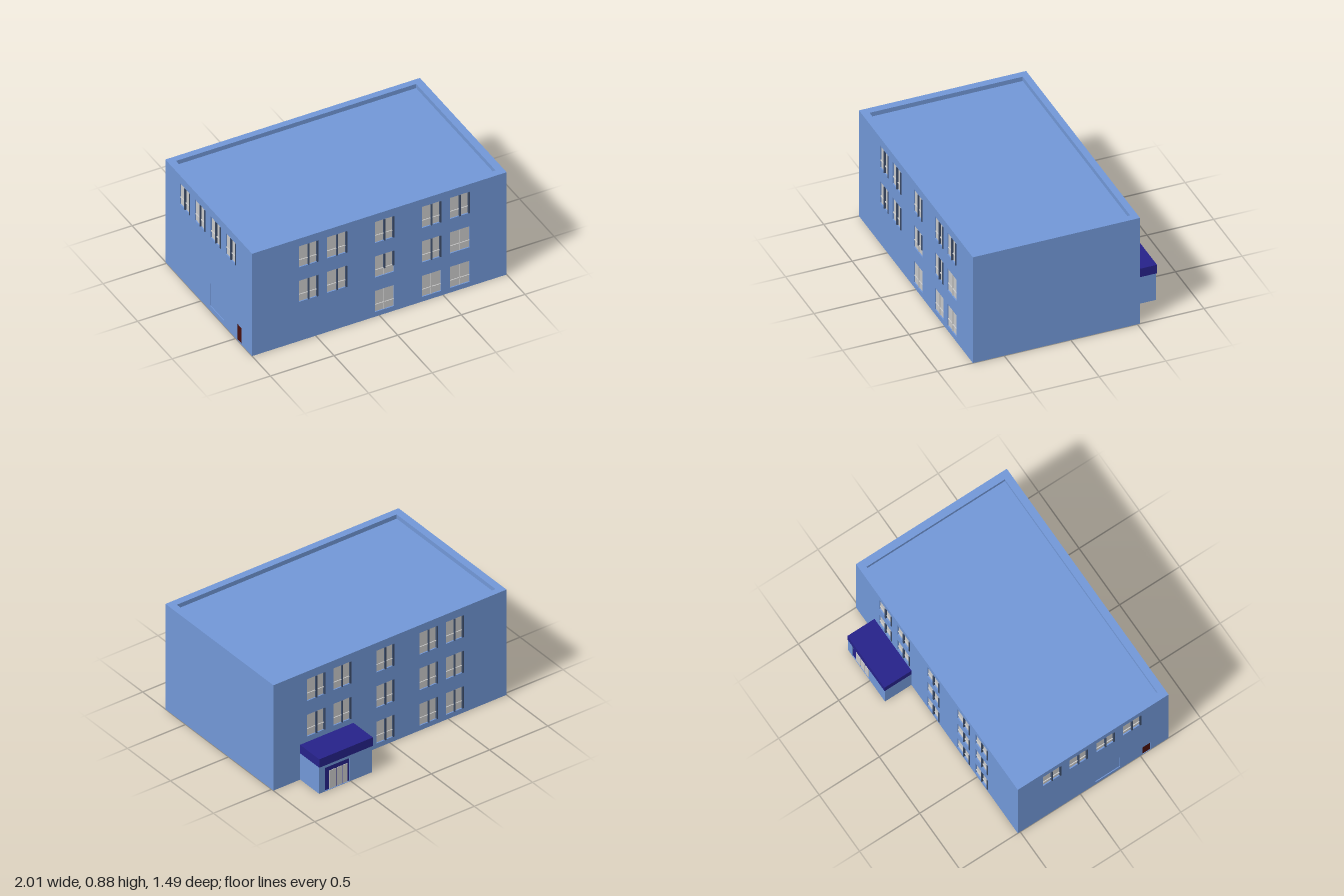
import * as THREE from 'three';

const mat = (color) => new THREE.MeshStandardMaterial({ color, flatShading: true, side: THREE.DoubleSide });
const wallMat = mat(0x7298d8);
const glassMat = mat(0xcccccc);
const frameMat = mat(0x3f506e);
const navyMat = mat(0x26228a);
const doorMat = mat(0x4a100c);

const H = 0.875, DECK = 0.84, T = 0.015;
const COLS = [[-0.63, -0.48], [-0.41, -0.255], [-0.035, 0.115], [0.335, 0.485], [0.555, 0.71]];
const ROWS = [[0.04, 0.22], [0.335, 0.515], [0.63, 0.81]];
const SIDE_COLS = [[-0.31, -0.16], [-0.09, 0.06], [0.135, 0.285], [0.355, 0.505]];

// Box given by its limits on each axis
function box(parent, name, material, x0, x1, y0, y1, z0, z1) {
  const mesh = new THREE.Mesh(new THREE.BoxGeometry(x1 - x0, y1 - y0, z1 - z0), material);
  mesh.position.set((x0 + x1) / 2, (y0 + y1) / 2, (z0 + z1) / 2);
  mesh.name = name;
  parent.add(mesh);
  return mesh;
}

function rect(Type, x0, x1, y0, y1) {
  return new Type([[x0, y0], [x1, y0], [x1, y1], [x0, y1]].map(([x, y]) => new THREE.Vector2(x, y)));
}

// Upright slab with rectangular openings, outer face at local z = d
function slab(parent, name, u0, u1, height, d, openings) {
  const shape = rect(THREE.Shape, u0, u1, 0, height);
  for (const [a, b, c, e] of openings) shape.holes.push(rect(THREE.Path, a, b, c, e));
  const geo = new THREE.ExtrudeGeometry(shape, { depth: T, bevelEnabled: false });
  geo.translate(0, 0, d - T);
  const mesh = new THREE.Mesh(geo, wallMat);
  mesh.name = name;
  parent.add(mesh);
}

// Two-light window with low transom; dark posts run over the full or upper part
function addWindow(parent, [u0, u1, y0, y1], d, posts = 'full') {
  const win = new THREE.Group();
  win.name = 'window';
  const mid = (u0 + u1) / 2, transom = y0 + (y1 - y0) * 0.32;
  box(win, 'glass', glassMat, u0, u1, y0, y1, d - 0.013, d - 0.009);
  box(win, 'transom', glassMat, u0, u1, transom - 0.003, transom + 0.003, d - 0.009, d - 0.002);
  box(win, 'centreBar', glassMat, mid - 0.003, mid + 0.003, y0, y1, d - 0.009, d - 0.002);
  if (posts !== 'none') {
    const base = posts === 'upper' ? transom : y0;
    box(win, 'centrePost', frameMat, mid - 0.005, mid + 0.005, base, y1, d - 0.009, d + 0.005);
    box(win, 'sidePost', frameMat, u1 - 0.011, u1, base, y1, d - 0.009, d + 0.005);
  }
  parent.add(win);
}

export function createModel() {
  const model = new THREE.Group();
  model.name = 'building';
  const facade = (name, angle) => {
    const g = new THREE.Group();
    g.name = name;
    g.rotation.y = angle;
    model.add(g);
    return g;
  };

  // Front wall: two full rows and three ground floor windows
  const front = facade('frontFacade', 0);
  const frontWins = [];
  ROWS.forEach(([y0, y1], r) => COLS.forEach(([a, b], c) => {
    if (r === 0 && c < 2) return;
    const posts = r === 0 || (r === 1 && c === 4) ? 'none' : r === 1 && c === 2 ? 'upper' : 'full';
    frontWins.push({ o: [a, b, y0, y1], posts });
  }));
  slab(front, 'frontWall', -1, 1, H, 0.735, frontWins.map((w) => w.o));
  frontWins.forEach((w) => addWindow(front, w.o, 0.735, w.posts));

  // Back wall: porch takes the place of two ground floor windows
  const back = facade('backFacade', Math.PI);
  const backWins = [];
  ROWS.forEach(([y0, y1], r) => COLS.forEach(([a, b], c) => {
    if (r === 0 && c > 2) return;
    backWins.push([-b, -a, y0, y1]);
  }));
  const lowerWindows = backWins.filter(([a]) => a > -0.9);
  slab(back, 'backWall', -1, 1, H, 0.52, [...lowerWindows, [-0.755, -0.325, 0.002, 0.21]]);
  lowerWindows.forEach((o) => addWindow(back, o, 0.52));

  // Left wall is blank
  slab(facade('leftFacade', Math.PI / 2), 'leftWall', -0.735, 0.52, H, 1, []);

  // Right wall: upper windows, blind panel and small door
  const right = facade('rightFacade', -Math.PI / 2);
  const sideWins = SIDE_COLS.map(([a, b]) => [a, b, ...ROWS[2]]);
  const panel = [0.125, 0.33, 0.04, 0.23];
  const door = [0.52, 0.585, 0.003, 0.14];
  slab(right, 'rightWall', -0.52, 0.735, H, 1, [...sideWins, panel, door]);
  sideWins.forEach((o) => addWindow(right, o, 1));
  box(right, 'blindPanel', wallMat, ...panel, 0.987, 0.994);
  box(right, 'sideDoor', doorMat, ...door, 0.987, 0.996);

  // Parapet rim and sunken roof deck
  const rimShape = rect(THREE.Shape, -1, 1, -0.735, 0.52);
  rimShape.holes.push(rect(THREE.Path, -0.943, 0.943, -0.68, 0.47));
  const rimGeo = new THREE.ExtrudeGeometry(rimShape, { depth: H - DECK, bevelEnabled: false });
  rimGeo.rotateX(-Math.PI / 2);
  const rim = new THREE.Mesh(rimGeo, wallMat);
  rim.name = 'parapet';
  rim.position.y = DECK;
  model.add(rim);
  box(model, 'roofDeck', wallMat, -0.985, 0.985, DECK - 0.01, DECK, -0.505, 0.72);

  // Entrance porch, open below and towards the building
  const porch = new THREE.Group();
  porch.name = 'porch';
  porch.rotation.y = Math.PI;
  model.add(porch);
  const entry = [-0.72, -0.51, 0.003, 0.195];
  slab(porch, 'porchFront', -0.77, -0.315, 0.22, 0.74, [entry]);
  box(porch, 'porchSide', wallMat, -0.77, -0.758, 0, 0.22, 0.52, 0.728);
  box(porch, 'porchSide', wallMat, -0.327, -0.315, 0, 0.22, 0.52, 0.728);
  box(porch, 'canopy', navyMat, -0.772, -0.313, 0.22, 0.29, 0.52, 0.745);

  // Entrance door: navy surround with three glass leaves
  box(porch, 'doorSurround', navyMat, ...entry, 0.727, 0.733);
  for (const [a, b] of [[-0.68, -0.625], [-0.617, -0.573], [-0.565, -0.525]]) {
    box(porch, 'doorLeaf', glassMat, a, b, 0.005, 0.155, 0.725, 0.737);
  }
  return model;
}
